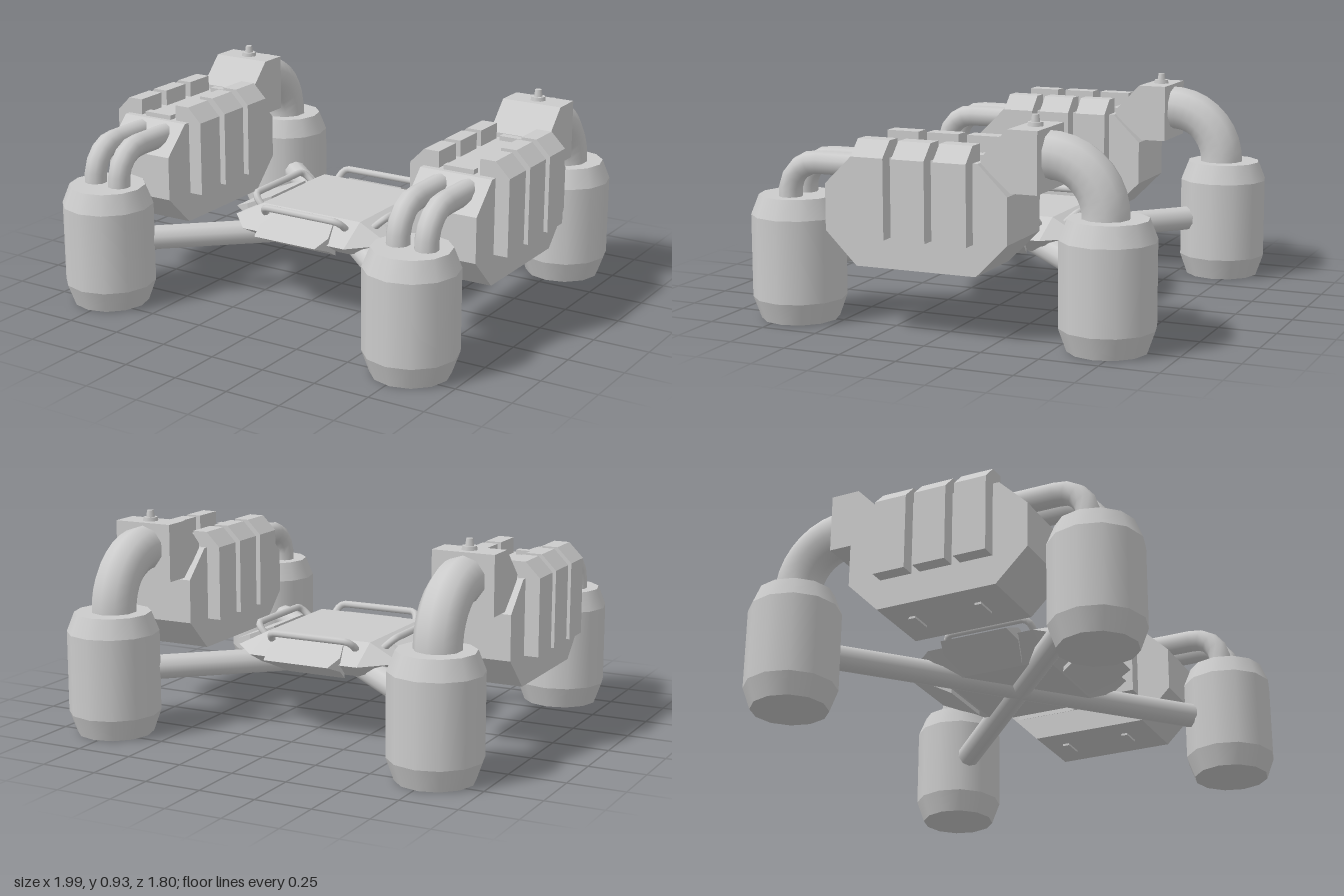
import * as THREE from 'three';
import { ConvexGeometry } from 'three/addons/geometries/ConvexGeometry.js';

const V = (x, y, z) => new THREE.Vector3(x, y, z);
const flat = new THREE.MeshStandardMaterial({ color: 0xcccccc, flatShading: true });
const smooth = new THREE.MeshStandardMaterial({ color: 0xcccccc });

function add(parent, name, geometry, material = flat, x = 0, y = 0, z = 0) {
  const mesh = new THREE.Mesh(geometry, material);
  mesh.name = name;
  mesh.position.set(x, y, z);
  parent.add(mesh);
  return mesh;
}

// Convex solid from points, each mirrored across x
function mirroredHull(points) {
  return new ConvexGeometry(points.flatMap(([x, y, z]) => [V(x, y, z), V(-x, y, z)]));
}

// Extrusion of a [z, y] outline across x, centred on x = 0
function sideExtrude(outline, width) {
  const shape = new THREE.Shape(outline.map(([z, y]) => new THREE.Vector2(-z, y)));
  const geometry = new THREE.ExtrudeGeometry(shape, { depth: width, bevelEnabled: false });
  return geometry.translate(0, 0, -width / 2).rotateY(Math.PI / 2);
}

// Pipe running along z that bends down into a tank
function bentPipe(x, zStart, y, zEnd, yEnd, bend, radius, radialSegments) {
  const s = Math.sign(zEnd - zStart);
  const zb = zEnd - s * bend, k = 0.55 * bend;
  const path = new THREE.CurvePath();
  path.add(new THREE.LineCurve3(V(x, y, zStart), V(x, y, zb)));
  path.add(new THREE.CubicBezierCurve3(
    V(x, y, zb), V(x, y, zb + s * k), V(x, y - bend + k, zEnd), V(x, y - bend, zEnd)));
  path.add(new THREE.LineCurve3(V(x, y - bend, zEnd), V(x, yEnd, zEnd)));
  return new THREE.TubeGeometry(path, 9, radius, radialSegments);
}

function createTank() {
  const tank = new THREE.Group();
  tank.name = 'tank';
  const ring = (name, rTop, rBottom, y0, y1, open) => add(tank, name,
    new THREE.CylinderGeometry(rTop, rBottom, y1 - y0, 12, 1, open), smooth, 0, (y0 + y1) / 2, 0);
  ring('tankBase', 0.2, 0.166, 0, 0.095, false);
  ring('tankWall', 0.2, 0.2, 0.095, 0.45, true);
  ring('tankShoulder', 0.166, 0.2, 0.45, 0.535, false);
  return tank;
}

function createPod() {
  const pod = new THREE.Group();
  pod.name = 'enginePod';

  // Chamfered main casing
  add(pod, 'podCasing', sideExtrude([
    [0.35, 0.745], [0.477, 0.62], [0.477, 0.425], [0.337, 0.287],
    [-0.2, 0.287], [-0.337, 0.425], [-0.337, 0.62], [-0.21, 0.745]], 0.332));

  // Three pairs of armour ribs wrapping the upper edges
  const rib = new THREE.Shape([[0.095, 0.417], [0.23, 0.417], [0.23, 0.75], [0.165, 0.815], [0.095, 0.815]]
    .map(([x, y]) => new THREE.Vector2(x, y)));
  for (const z of [-0.116, 0.067, 0.25]) {
    for (const side of [0, Math.PI]) {
      const geometry = new THREE.ExtrudeGeometry(rib, { depth: 0.144, bevelEnabled: false });
      geometry.translate(0, 0, -0.072).rotateY(side);
      add(pod, 'rib', geometry, flat, 0, 0, z);
    }
  }

  // Small latches above and below
  for (const z of [-0.185, 0.31]) add(pod, 'topLatch', new THREE.BoxGeometry(0.14, 0.03, 0.036), flat, 0, 0.75, z);
  for (const z of [-0.1, 0.2]) add(pod, 'bottomLatch', new THREE.BoxGeometry(0.1, 0.02, 0.03), flat, 0, 0.287, z);

  // Rear valve box and its knob
  add(pod, 'valveBox', sideExtrude([
    [-0.21, 0.765], [-0.325, 0.885], [-0.453, 0.885], [-0.453, 0.63], [-0.337, 0.63], [-0.21, 0.74]], 0.276));
  add(pod, 'knobBase', new THREE.CylinderGeometry(0.032, 0.035, 0.02, 8), smooth, 0, 0.892, -0.388);
  add(pod, 'knob', new THREE.CylinderGeometry(0.015, 0.021, 0.04, 8), smooth, 0, 0.912, -0.388);

  // Pipes to the tanks
  add(pod, 'rearPipe', bentPipe(0, -0.44, 0.772, -0.69, 0.525, 0.235, 0.1, 10), smooth);
  for (const x of [-0.065, 0.065]) {
    add(pod, 'frontPipe', bentPipe(x, 0.36, 0.687, 0.698, 0.525, 0.13, 0.05, 10), smooth);
  }
  return pod;
}

function createHub() {
  const hub = new THREE.Group();
  hub.name = 'hub';

  // Faceted plate: square top and bottom, octagonal rim
  add(hub, 'hubPlate', mirroredHull([1, -1].flatMap((s) => [
    [0.25, 0.412, 0.25 * s], [0.26, 0.335, 0.4 * s], [0.4, 0.335, 0.25 * s], [0.25, 0.255, 0.25 * s]])));

  const tab = mirroredHull([
    [0.14, 0.405, 0.285], [0.177, 0.365, 0.39], [0.155, 0.335, 0.465],
    [0.177, 0.305, 0.39], [0.138, 0.245, 0.27]]);

  // Grab rail standing off each slope
  const corners = [[-0.205, 0.37, 0.28], [-0.205, 0.405, 0.318], [-0.165, 0.426, 0.338]].map((p) => V(...p));
  const mirrored = corners.map((p) => V(-p.x, p.y, p.z)).reverse();
  const path = new THREE.CurvePath();
  path.add(new THREE.QuadraticBezierCurve3(corners[0], V(-0.21, 0.426, 0.338), corners[2]));
  path.add(new THREE.LineCurve3(corners[2], mirrored[0]));
  path.add(new THREE.QuadraticBezierCurve3(mirrored[0], V(0.21, 0.426, 0.338), mirrored[2]));
  const rail = new THREE.TubeGeometry(path, 28, 0.016, 8);

  for (let i = 0; i < 4; i++) {
    add(hub, 'hubTab', tab).rotation.y = i * Math.PI / 2;
    add(hub, 'grabRail', rail, smooth).rotation.y = i * Math.PI / 2;
  }
  return hub;
}

export function createModel() {
  const model = new THREE.Group();
  model.name = 'model';
  model.add(createHub());

  // Crossed struts joining opposite tanks
  const strut = new THREE.CylinderGeometry(0.055, 0.055, 2 * Math.hypot(0.767, 0.7), 10).rotateX(Math.PI / 2);
  for (const s of [-1, 1]) {
    add(model, 'strut', strut, smooth, 0, 0.275, 0).rotation.y = s * Math.atan2(0.767, 0.7);
  }

  for (const x of [-0.767, 0.767]) {
    const pod = createPod();
    pod.position.x = x;
    model.add(pod);
    for (const z of [-0.7, 0.7]) {
      const tank = createTank();
      tank.position.set(x, 0, z);
      model.add(tank);
    }
  }
  return model;
}
